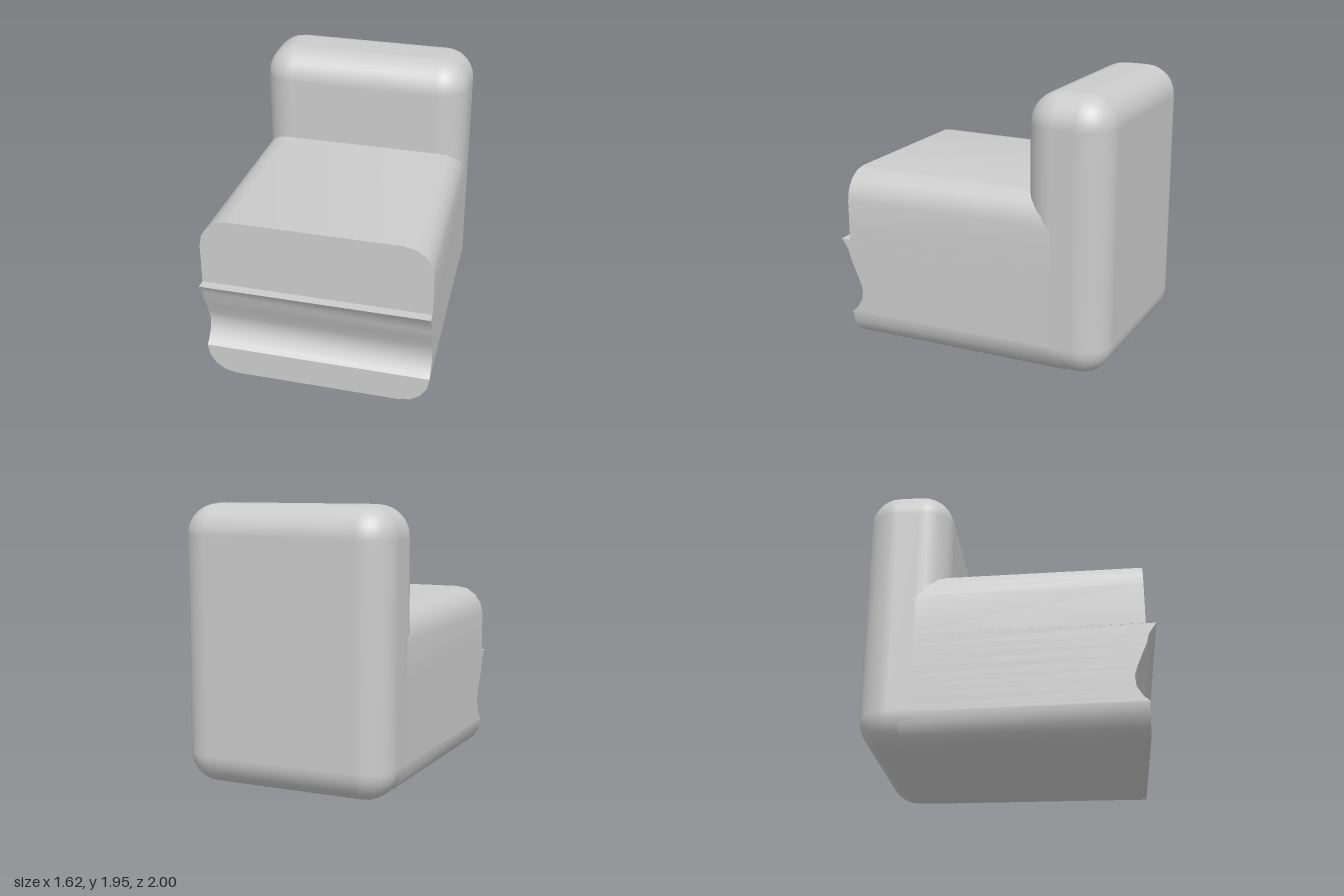
import * as THREE from 'three';
import { toCreasedNormals } from 'three/addons/utils/BufferGeometryUtils.js';
import { RoundedBoxGeometry } from 'three/addons/geometries/RoundedBoxGeometry.js';

const HALF = 0.81, HEIGHT = 1.27, R = 0.21, FRONT = 0.93, BACK = -0.7;

// Seat sides narrow towards the back.
const taper = (z) => (HALF - 0.026 * Math.max(0, FRONT - z)) / HALF;

// Right half of the seat outline, bottom to top: [half width, y, front z].
function seatRows() {
  const rows = [];
  const corner = (cy, from) => {
    for (let i = 0; i <= 4; i++) {
      const a = from + (i / 4) * (Math.PI / 2);
      rows.push([HALF - R + R * Math.cos(a), cy + R * Math.sin(a), FRONT]);
    }
  };
  corner(R, -Math.PI / 2);
  // scooped groove ending in a projecting lip
  const groove = [
    [0.93, 0.215], [0.895, 0.245], [0.85, 0.315], [0.84, 0.39], [0.86, 0.455],
    [0.895, 0.54], [0.93, 0.62], [0.945, 0.685], [1.0, 0.765], [0.93, 0.765],
  ];
  for (const [z, y] of groove) rows.push([HALF, y, z]);
  corner(HEIGHT - R, 0);
  return rows;
}

function seatGeometry() {
  const rows = seatRows();
  const pos = [];
  const quad = (a, b, c, d) => pos.push(...a, ...b, ...c, ...a, ...c, ...d);
  const point = ([x, y], z) => [x * taper(z), y, z];
  const mirrored = ([x, y, z]) => [-x, y, z];

  // skin around the whole outline
  const loop = [...rows, ...rows.map(mirrored).reverse()];
  loop.forEach((p, i) => {
    const q = loop[(i + 1) % loop.length];
    if (p[0] === q[0] && p[1] === q[1]) return;
    quad(point(p, p[2]), point(p, BACK), point(q, BACK), point(q, q[2]));
  });

  // front face in horizontal strips
  for (let i = 0; i < rows.length - 1; i++) {
    const a = rows[i], b = rows[i + 1];
    if (a[1] === b[1] && a[2] === b[2]) continue;
    const pa = point(a, a[2]), pb = point(b, b[2]);
    quad(pa, pb, mirrored(pb), mirrored(pa));
  }

  const geo = new THREE.BufferGeometry();
  geo.setAttribute('position', new THREE.Float32BufferAttribute(pos, 3));
  return toCreasedNormals(geo, 0.65);
}

export function createModel() {
  const group = new THREE.Group();
  const material = new THREE.MeshStandardMaterial({ color: 0xcccccc });

  const seat = new THREE.Mesh(seatGeometry(), material);
  seat.name = 'seat';

  // upright back, rounded on every edge and reaching the floor
  const backrest = new THREE.Mesh(new RoundedBoxGeometry(1.54, 1.95, 0.6, 4, 0.22), material);
  backrest.name = 'backrest';
  backrest.position.set(0, 0.975, -0.7);

  group.add(seat, backrest);
  return group;
}
